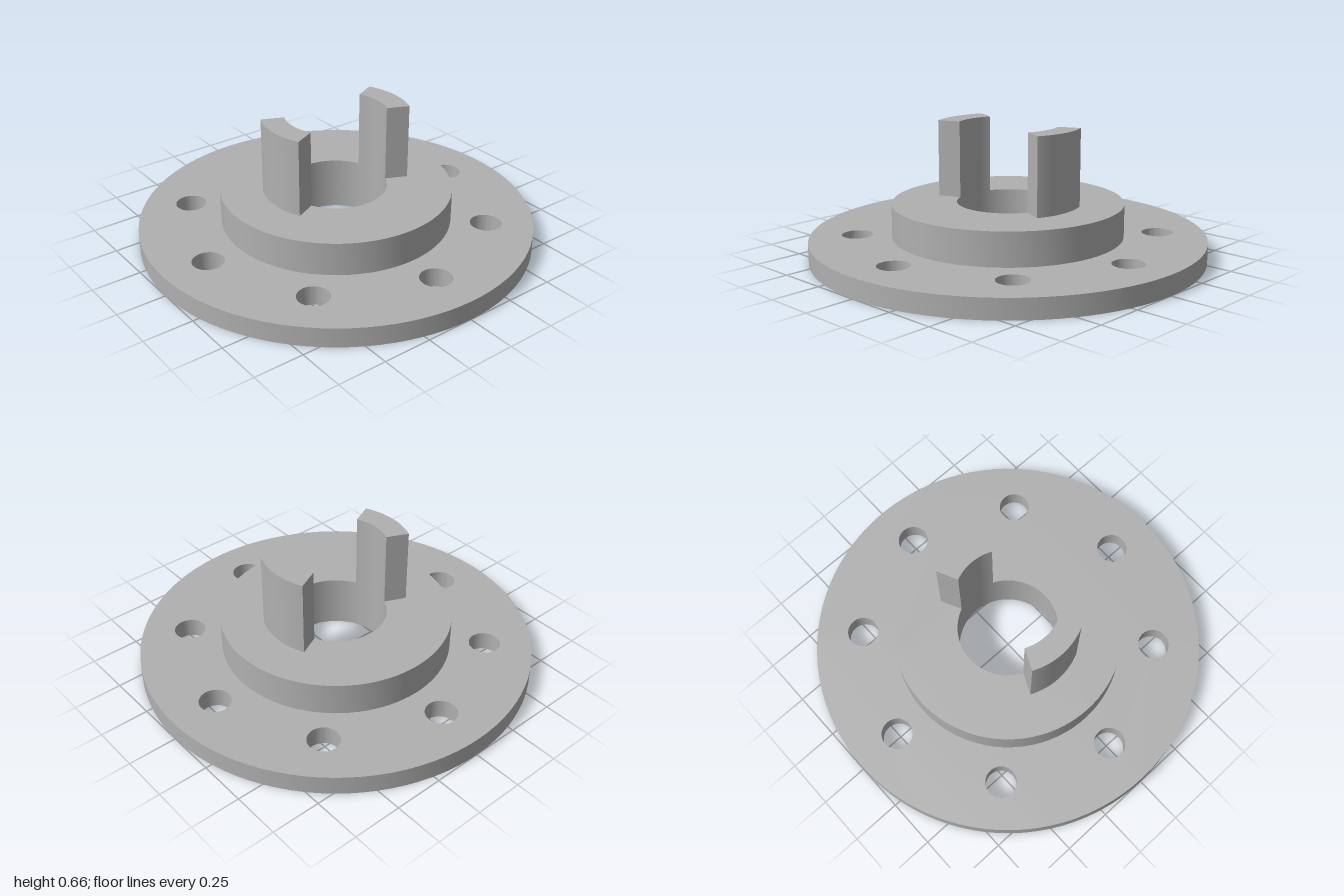
import * as THREE from 'three';
import { toCreasedNormals } from 'three/addons/utils/BufferGeometryUtils.js';

const BORE = 0.257;

// Full disc outline with a list of round holes [x, y, radius]
function disc(radius, holes) {
  const shape = new THREE.Shape().absarc(0, 0, radius, 0, Math.PI * 2, false);
  for (const [x, y, r] of holes) {
    shape.holes.push(new THREE.Path().absarc(x, y, r, 0, Math.PI * 2, true));
  }
  return shape;
}

// Ring sector centred on the given angle
function sector(inner, outer, centre, half) {
  return new THREE.Shape()
    .absarc(0, 0, outer, centre - half, centre + half, false)
    .absarc(0, 0, inner, centre + half, centre - half, true);
}

export function createModel() {
  const group = new THREE.Group();
  group.name = 'flangedCoupling';
  const metal = new THREE.MeshStandardMaterial({ color: 0xb0b0b0 });
  metal.name = 'grey metal';

  // Raise a flat outline from y = bottom to y = top
  function add(name, shape, bottom, top, segments) {
    const extruded = new THREE.ExtrudeGeometry(shape, {
      depth: top - bottom, bevelEnabled: false, curveSegments: segments,
    });
    extruded.rotateX(-Math.PI / 2).translate(0, bottom, 0);
    const mesh = new THREE.Mesh(toCreasedNormals(extruded, 0.5), metal);
    mesh.name = name;
    group.add(mesh);
  }

  // Flange with central bore and eight bolt holes
  const holes = [[0, 0, BORE]];
  for (let i = 0; i < 8; i++) {
    const a = (i * Math.PI) / 4;
    holes.push([0.762 * Math.cos(a), 0.762 * Math.sin(a), 0.079]);
  }
  add('flange', disc(1, holes), 0, 0.1, 48);

  // Raised hub around the bore
  add('hub', disc(0.585, [[0, 0, BORE]]), 0.1, 0.27, 48);

  // Two upright curved drive lugs
  const half = THREE.MathUtils.degToRad(25);
  add('leftLug', sector(BORE, 0.373, 0, half), 0.27, 0.662, 12);
  add('rightLug', sector(BORE, 0.373, Math.PI, half), 0.27, 0.662, 12);

  return group;
}
